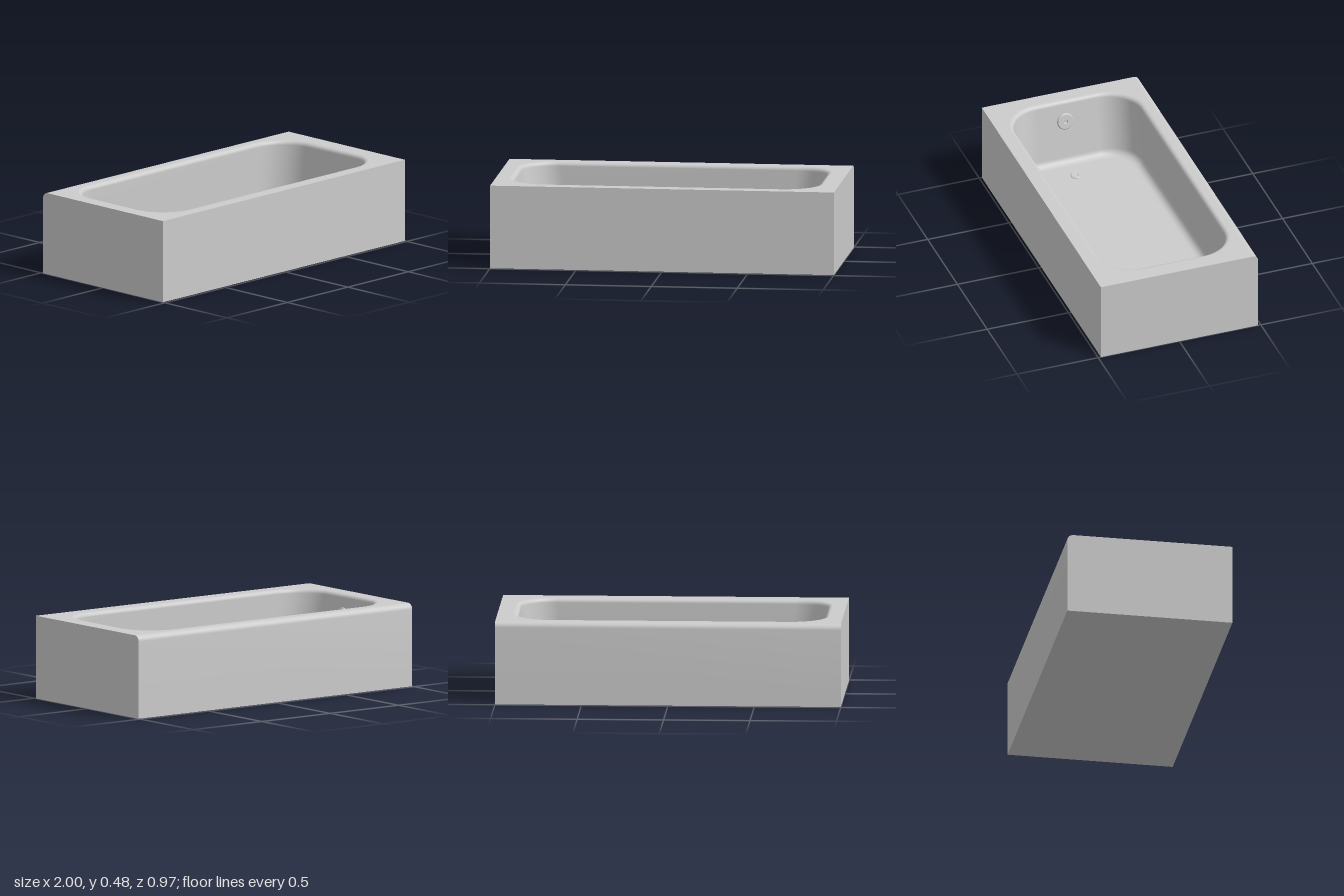
import * as THREE from 'three';
import { toCreasedNormals } from 'three/addons/utils/BufferGeometryUtils.js';

const H = 0.484, D = 0.484, EDGE = 0.035; // height, half depth, rounded back edge
const RIM = 0.025, FILLET = 0.045, SLOPE = 0.17, FLOOR = 0.1;
const CORNER_STEPS = 14;

const grey = new THREE.MeshStandardMaterial({ color: 0xcccccc });

function addMesh(parent, name, geometry) {
  const mesh = new THREE.Mesh(geometry, grey);
  mesh.name = name;
  parent.add(mesh);
  return mesh;
}

// Rounded rectangle outline in the x/z plane
function outline({ x0, x1, zh, r }) {
  const centres = [[x1 - r, zh - r], [x0 + r, zh - r], [x0 + r, r - zh], [x1 - r, r - zh]];
  return centres.flatMap(([cx, cz], q) =>
    Array.from({ length: CORNER_STEPS + 1 }, (_, k) => {
      const t = (q + k / CORNER_STEPS) * Math.PI / 2;
      return [cx + r * Math.cos(t), cz + r * Math.sin(t)];
    }));
}

// Basin sections from the rim down to the floor
function basinSections() {
  const sections = [];
  const add = (y, inset, slopeL, slopeR, r) => sections.push({
    y, x0: -0.92 + inset + slopeL, x1: 0.905 - inset - slopeR, zh: 0.41 - inset, r });
  for (let k = 0; k <= 6; k++) {
    const a = k / 6 * Math.PI / 2;
    add(H - RIM * (1 - Math.cos(a)), RIM * Math.sin(a), 0, 0, 0.225 - RIM * Math.sin(a));
  }
  const top = H - RIM, bottom = FLOOR + FILLET;
  for (let k = 1; k <= 4; k++) {
    const drop = (top - bottom) * k / 4;
    add(top - drop, RIM, drop * SLOPE, drop * 0.08, 0.2);
  }
  const run = top - bottom;
  for (let k = 1; k <= 6; k++) {
    const a = k / 6 * Math.PI / 2, inset = FILLET * (1 - Math.cos(a));
    add(bottom - FILLET * Math.sin(a), RIM + inset, run * SLOPE, run * 0.08, 0.2 - inset);
  }
  add(FLOOR, RIM + FILLET + 0.02, run * SLOPE, run * 0.08, 0.135);
  return sections;
}

function basinGeometry(sections) {
  const pos = [], idx = [];
  const n = 4 * (CORNER_STEPS + 1);
  for (const s of sections) for (const [x, z] of outline(s)) pos.push(x, s.y, z);
  const last = (sections.length - 1) * n, centre = sections.length * n;
  pos.push(0, FLOOR, 0);
  for (let i = 0; i < n; i++) {
    const j = (i + 1) % n;
    for (let row = 0; row < last; row += n) {
      const a = row + i, b = row + j;
      idx.push(a, a + n, b, b, a + n, b + n);
    }
    idx.push(last + i, centre, last + j);
  }
  const g = new THREE.BufferGeometry();
  g.setAttribute('position', new THREE.Float32BufferAttribute(pos, 3));
  g.setIndex(idx);
  g.computeVertexNormals();
  return g;
}

// Outer side profile as [z, y], from the rounded back edge round to the front
function sideProfile() {
  const pts = [];
  for (let k = 0; k <= 8; k++) {
    const a = k / 8 * Math.PI / 2;
    pts.push([-D + EDGE * (1 - Math.sin(a)), H - EDGE * (1 - Math.cos(a))]);
  }
  return pts.concat([[-D, 0], [D, 0], [D, H]]);
}

function apronGeometry(profile) {
  const pos = [];
  for (let i = 0; i < profile.length - 1; i++) {
    const [z0, y0] = profile[i], [z1, y1] = profile[i + 1];
    pos.push(-1, y0, z0, 1, y0, z0, -1, y1, z1, 1, y0, z0, 1, y1, z1, -1, y1, z1);
  }
  const g = new THREE.BufferGeometry();
  g.setAttribute('position', new THREE.Float32BufferAttribute(pos, 3));
  return toCreasedNormals(g, Math.PI / 6);
}

// Round metal fitting turned about its y axis
function fitting(radius, height, hub) {
  const profile = [[radius, 0], [radius, height * 0.5], [radius * 0.9, height],
    [hub * 1.3, height], [hub, height * 0.6], [0, height * 0.6]];
  // lathe profiles run bottom to top so the faces point outward
  const points = profile.map(([x, y]) => new THREE.Vector2(x, y));
  return toCreasedNormals(new THREE.LatheGeometry(points, 32), Math.PI / 6);
}

export function createModel() {
  const tub = new THREE.Group();
  tub.name = 'bathtub';

  // Outer shell: back, underside and front in one strip, plus flat ends
  const profile = sideProfile();
  addMesh(tub, 'outerShell', apronGeometry(profile));
  for (const side of [-1, 1]) {
    const shape = new THREE.Shape(profile.map(([z, y]) => new THREE.Vector2(-side * z, y)));
    const g = new THREE.ShapeGeometry(shape).rotateY(side * Math.PI / 2).translate(side, 0, 0);
    addMesh(tub, side < 0 ? 'rightEnd' : 'leftEnd', g);
  }

  // Flat rim with the basin opening
  const sections = basinSections();
  const back = D - EDGE;
  const rim = new THREE.Shape([[-1, -D], [1, -D], [1, back], [-1, back]]
    .map(([x, y]) => new THREE.Vector2(x, y)));
  rim.holes.push(new THREE.Path(outline(sections[0]).map(([x, z]) => new THREE.Vector2(x, -z))));
  addMesh(tub, 'rim', new THREE.ShapeGeometry(rim).rotateX(-Math.PI / 2).translate(0, H, 0));

  // Basin with rounded lip, sloping ends and filleted floor
  addMesh(tub, 'basin', basinGeometry(sections));

  // Drain in the floor, overflow plate on the sloping end
  addMesh(tub, 'drain', fitting(0.033, 0.006, 0.011)).position.set(-0.69, FLOOR, 0.016);
  const overflow = addMesh(tub, 'overflowPlate', fitting(0.05, 0.012, 0.01));
  overflow.position.set(-0.895 + (H - RIM - 0.36) * SLOPE, 0.36, 0.016);
  overflow.rotation.z = Math.atan(SLOPE) - Math.PI / 2;

  return tub;
}
